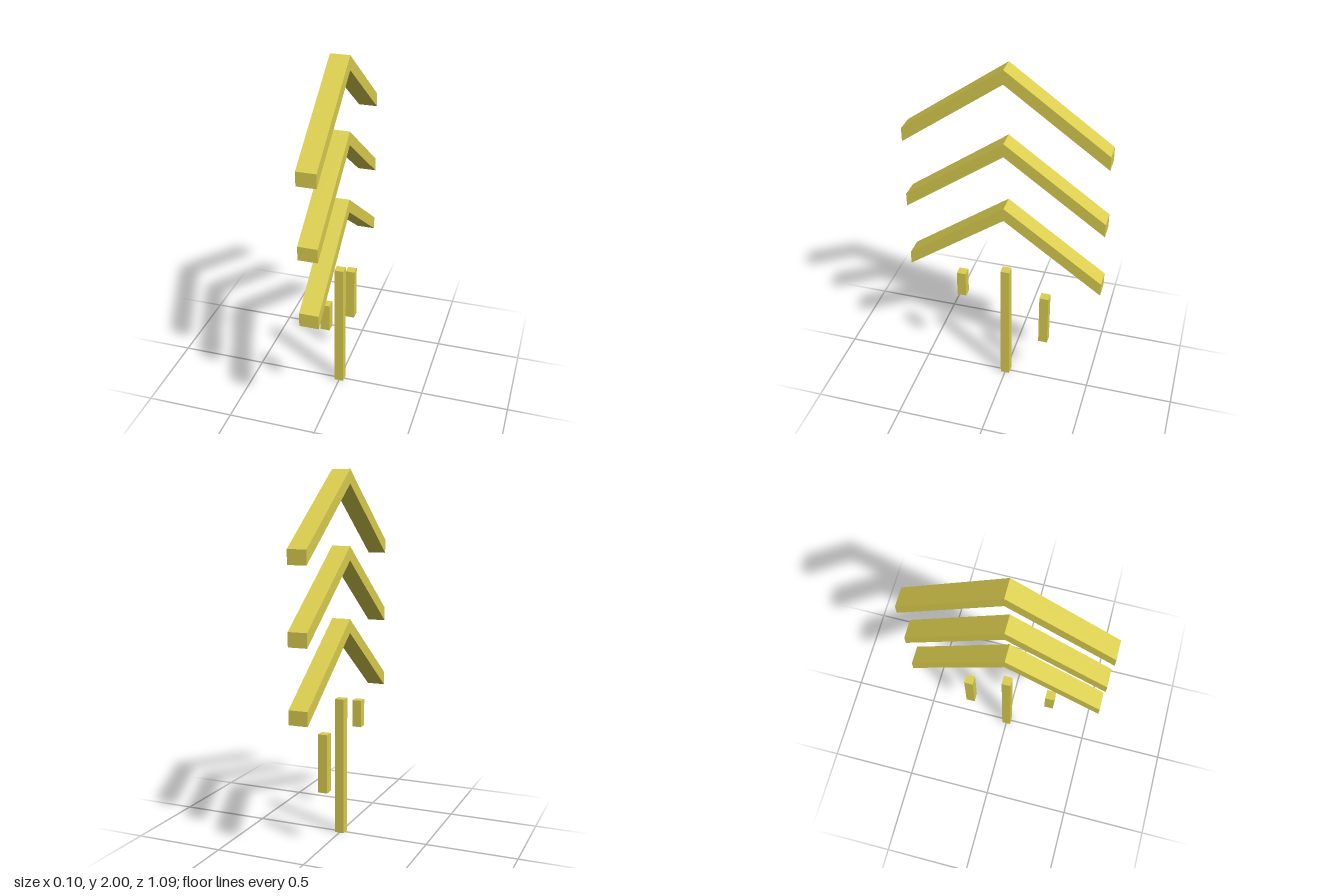
import * as THREE from 'three';

export function createModel() {
  const group = new THREE.Group();
  const material = new THREE.MeshStandardMaterial({ color: 0xdccf50, flatShading: true });

  const add = (name, geometry, y, z = 0) => {
    const mesh = new THREE.Mesh(geometry, material);
    mesh.name = name;
    mesh.position.set(0, y, z);
    group.add(mesh);
  };

  // Chevron bar: apex at the origin, arms sloping down to vertical ends
  const reach = 0.545, drop = 0.39, thick = 0.076, width = 0.104;
  const profile = new THREE.Shape([
    [0, 0], [-reach, -drop], [-reach, -drop - thick],
    [0, -thick], [reach, -drop - thick], [reach, -drop],
  ].map(([z, y]) => new THREE.Vector2(z, y)));
  const chevron = new THREE.ExtrudeGeometry(profile, { depth: width, bevelEnabled: false });
  chevron.translate(0, 0, -width / 2).rotateY(Math.PI / 2);

  // Three stacked chevrons
  [['upperChevron', 2], ['middleChevron', 1.6], ['lowerChevron', 1.21]]
    .forEach(([name, y]) => add(name, chevron, y));

  // Square posts: name, bottom, top, z
  [
    ['centrePost', 0, 0.768, 0],
    ['frontPost', 0.55, 0.706, 0.258],
    ['backPost', 0.306, 0.626, -0.228],
  ].forEach(([name, y0, y1, z]) =>
    add(name, new THREE.BoxGeometry(0.052, y1 - y0, 0.052), (y0 + y1) / 2, z));

  return group;
}
